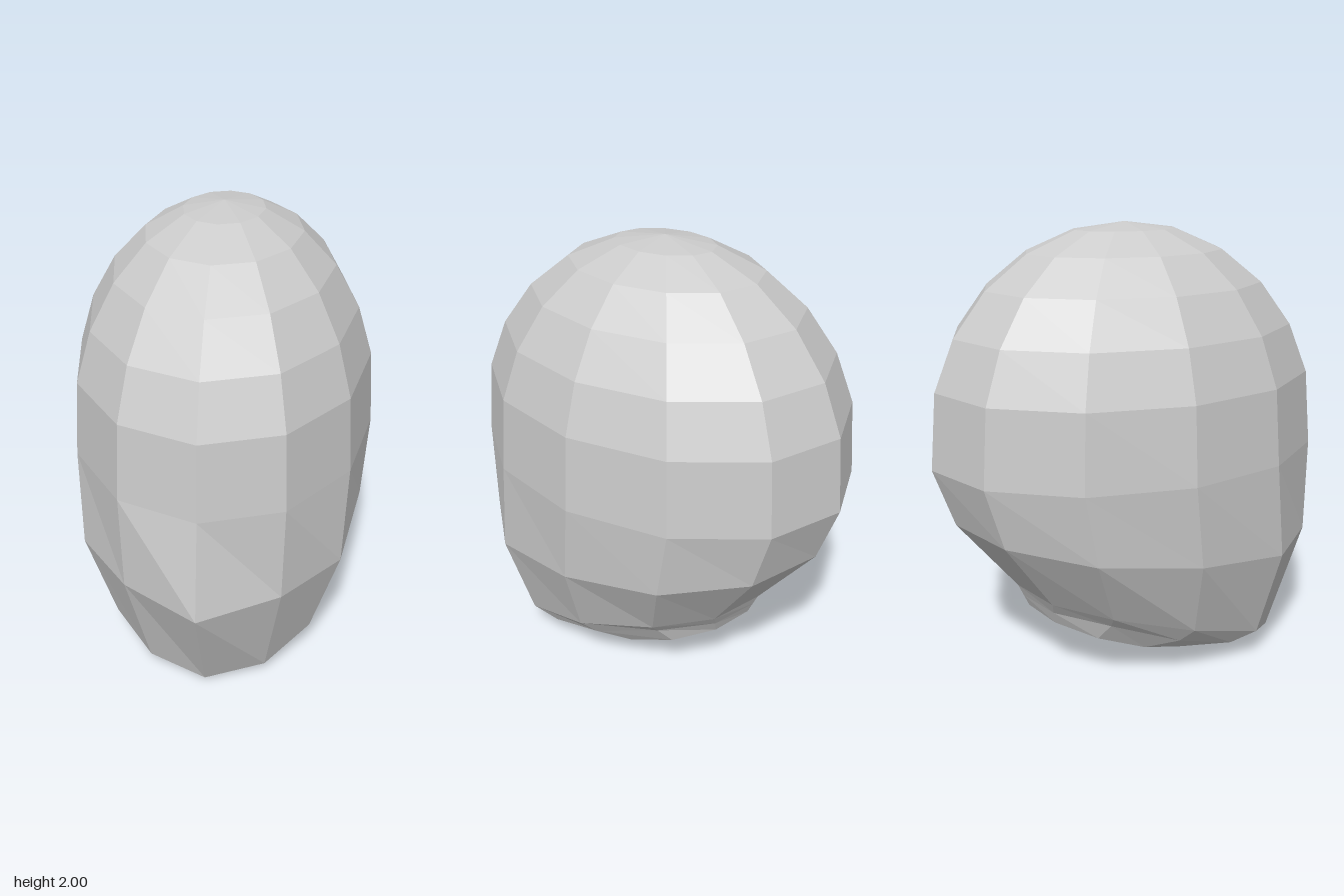
import * as THREE from 'three';

const SIDES = 12;

// Full ring from seven points running front to back along the +x side
function mirrorRing(half) {
  const other = half.slice(1, -1).reverse().map(([x, y, z]) => [-x, y, z]);
  return [...half, ...other];
}

// Level elliptical ring of the skull; angles start at the front (+z)
function skullRing(radiusX, radiusZ, y) {
  return Array.from({ length: SIDES }, (_, i) => {
    const a = (i / SIDES) * Math.PI * 2;
    return [radiusX * Math.sin(a), y, -0.04 + radiusZ * Math.cos(a)];
  });
}

// Skin neighbouring rings from top to bottom; first and last are single points
function skinRings(rings) {
  const positions = [];
  for (let r = 0; r < rings.length - 1; r++) {
    const up = rings[r], down = rings[r + 1];
    for (let i = 0; i < SIDES; i++) {
      const j = (i + 1) % SIDES;
      if (r < rings.length - 2) positions.push(...up[i], ...down[i], ...down[j]);
      if (r > 0) positions.push(...up[i], ...down[j], ...up[j]);
    }
  }
  const geometry = new THREE.BufferGeometry();
  geometry.setAttribute('position', new THREE.Float32BufferAttribute(positions, 3));
  geometry.computeVertexNormals();
  return geometry;
}

export function createModel() {
  const group = new THREE.Group();
  group.name = 'headModel';
  const rings = [];

  // Domed skull, with the widest ring lowered slightly
  for (let k = 0; k <= 6; k++) {
    const a = (k * Math.PI) / 12;
    const y = k === 6 ? 1.0 : 1.1 + 0.9 * Math.cos(a);
    rings.push(skullRing(0.675 * Math.sin(a), 0.9 * Math.sin(a), y));
  }

  // Cheek ring, pushed forward at the face and rising to the back
  rings.push(mirrorRing([
    [0, 0.57, 0.94], [0.33, 0.57, 0.74], [0.57, 0.57, 0.46], [0.65, 0.63, 0.01],
    [0.57, 0.685, -0.43], [0.33, 0.73, -0.74], [0, 0.74, -0.85],
  ]));
  // Jaw line, from chin to nape
  rings.push(mirrorRing([
    [0, 0.03, 0.69], [0.26, 0.06, 0.6], [0.45, 0.15, 0.42], [0.52, 0.27, 0.05],
    [0.43, 0.36, -0.3], [0.25, 0.395, -0.51], [0, 0.4, -0.58],
  ]));
  // Underside of the jaw
  rings.push(mirrorRing([
    [0, 0.005, 0.6], [0.24, 0.03, 0.5], [0.42, 0.105, 0.3], [0.455, 0.2, 0.01],
    [0.38, 0.305, -0.29], [0.21, 0.335, -0.49], [0, 0.345, -0.555],
  ]));

  // Flat sloping neck face
  const neck = (x, z) => [x, 0.15 - 0.337 * (z + 0.115), z];
  rings.push(Array.from({ length: SIDES }, (_, i) => {
    const a = (i / SIDES) * Math.PI * 2;
    return neck(0.36 * Math.sin(a), -0.115 + 0.415 * Math.cos(a));
  }));
  rings.push(Array.from({ length: SIDES }, () => neck(0, -0.115)));

  const material = new THREE.MeshStandardMaterial({ color: 0xcccccc, flatShading: true });
  const head = new THREE.Mesh(skinRings(rings), material);
  head.name = 'head';
  group.add(head);
  return group;
}
